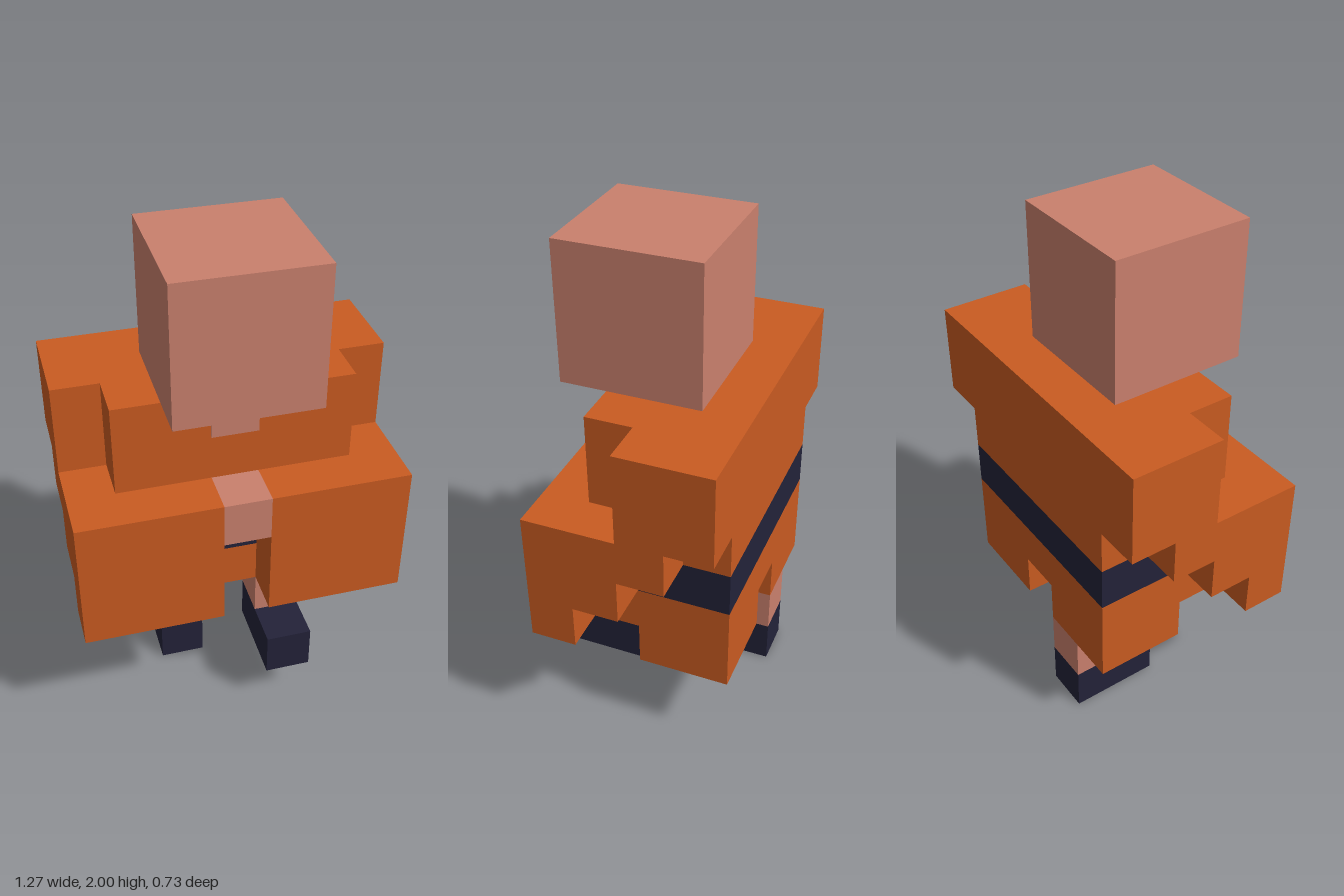
import * as THREE from 'three';

const U = 2 / 11; // one cube of the blocky grid

export function createModel() {
  const model = new THREE.Group();
  model.name = 'blockFigure';

  const material = (name, color) => {
    const m = new THREE.MeshStandardMaterial({ color });
    m.name = name;
    return m;
  };
  const orange = material('orangeCloth', 0xc95b21);
  const skin = material('skin', 0xca806d);
  const navy = material('navy', 0x232239);

  // Box between two corners, given in grid cubes
  function block(name, mat, [x0, x1], [y0, y1], [z0, z1], parent = model) {
    const geo = new THREE.BoxGeometry((x1 - x0) * U, (y1 - y0) * U, (z1 - z0) * U);
    const mesh = new THREE.Mesh(geo, mat);
    mesh.position.set((x0 + x1) * U / 2, (y0 + y1) * U / 2, (z0 + z1) * U / 2);
    mesh.name = name;
    parent.add(mesh);
    return mesh;
  }

  // Head and the bare neckline below it
  block('head', skin, [-1.5, 1.5], [8, 11], [-1, 2]);
  block('neckline', skin, [-0.5, 0.5], [7, 8], [0.98, 1.01]);

  // Torso: jacket, belt, skirt
  block('jacket', orange, [-2.5, 2.5], [5, 8], [-2, 1]);
  block('belt', navy, [-2.5, 2.5], [4, 5], [-2, 1]);
  block('skirt', orange, [-2.5, 2.5], [3, 4], [-2, 1]);

  // Arms folded forward, with stepped sleeves
  for (const side of [-1, 1]) {
    const arm = new THREE.Group();
    arm.name = side > 0 ? 'leftArm' : 'rightArm';
    model.add(arm);
    const span = (a, b) => (side > 0 ? [a, b] : [-b, -a]);
    block('upperArm', orange, span(2.5, 3.5), [6, 8], [-2, 0], arm);
    for (let i = 0; i < 3; i++) {
      block('sleeveStep', orange, span(2.5, 3.5), [5 - i, 6 - i], [i - 1, 2], arm);
    }
    block('sleeveFront', orange, span(0.5, 2.5), [3, 6], [1, 2], arm);
    block('trouserLeg', orange, span(0.5, 2.5), [2, 3], [-2, 0]);
  }
  block('hands', skin, [-0.5, 0.5], [5, 6], [1, 2]);

  // Left leg lifted forward, right leg planted behind
  block('leftShin', skin, [0.5, 1.5], [2, 3], [0, 1]);
  block('leftBoot', navy, [0.5, 1.5], [1, 2], [0, 2]);
  block('rightShin', skin, [-1.5, -0.5], [1, 2], [-2, -1]);
  block('rightBoot', navy, [-1.5, -0.5], [0, 1], [-2, 0]);

  return model;
}
